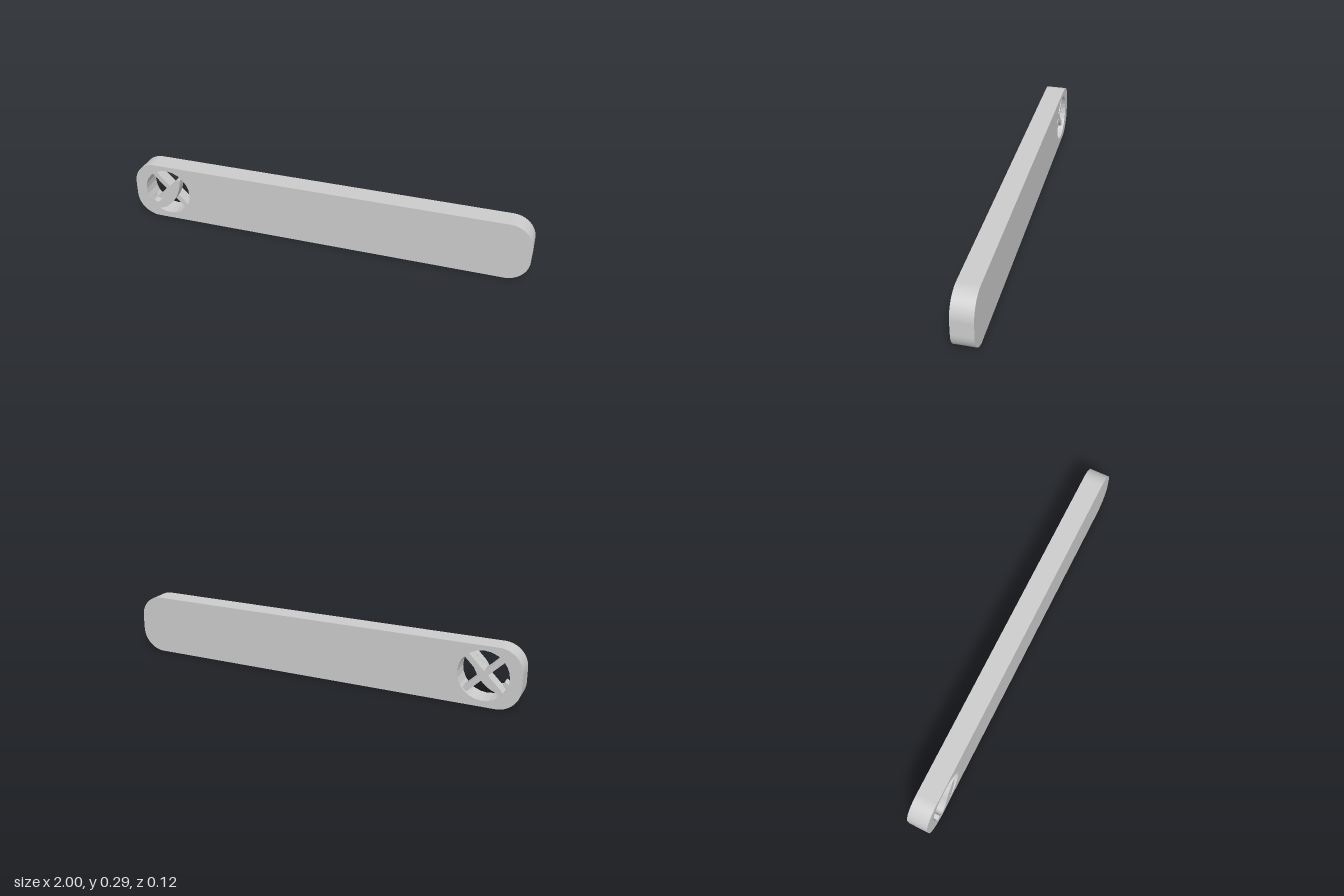
import * as THREE from 'three';

const W = 2, H = 0.293, T = 0.102, R = 0.112;
const HOLE = { x: -0.825, y: 0.15, r: 0.12 };

const material = new THREE.MeshStandardMaterial({ color: 0xcccccc });

// Extrudes a shape between two depths
function plate(name, shape, back, front, curveSegments) {
  const geometry = new THREE.ExtrudeGeometry(shape, { depth: front - back, bevelEnabled: false, curveSegments });
  geometry.translate(0, 0, back);
  const mesh = new THREE.Mesh(geometry, material);
  mesh.name = name;
  return mesh;
}

// Long bar with rounded corners and a round opening near one end
function barShape() {
  const s = new THREE.Shape();
  const x = W / 2 - R;
  s.absarc(x, H - R, R, 0, Math.PI / 2);
  s.absarc(-x, H - R, R, Math.PI / 2, Math.PI);
  s.absarc(-x, R, R, Math.PI, Math.PI * 1.5);
  s.absarc(x, R, R, Math.PI * 1.5, Math.PI * 2);
  s.closePath();
  s.holes.push(new THREE.Path().absarc(HOLE.x, HOLE.y, HOLE.r, 0, Math.PI * 2, true));
  return s;
}

// Curved hook with a short blunt end and a long tapering arm
function hookShape() {
  const s = new THREE.Shape();
  s.moveTo(-0.93, 0.098);
  s.quadraticCurveTo(-0.925, 0.05, -0.885, 0.05);
  s.bezierCurveTo(-0.82, 0.052, -0.752, 0.14, -0.747, 0.234);
  s.quadraticCurveTo(-0.765, 0.238, -0.785, 0.21);
  s.quadraticCurveTo(-0.815, 0.185, -0.829, 0.155);
  s.quadraticCurveTo(-0.85, 0.1, -0.882, 0.086);
  s.quadraticCurveTo(-0.905, 0.083, -0.91, 0.112);
  s.closePath();
  return s;
}

export function createModel() {
  const model = new THREE.Group();
  model.name = 'barWithOpening';
  model.add(plate('bar', barShape(), -T / 2, T / 2, 12));

  // Diagonal cross braces inside the opening
  for (const [name, angle] of [['risingBrace', Math.PI / 4], ['fallingBrace', -Math.PI / 4]]) {
    const brace = new THREE.Mesh(new THREE.BoxGeometry(HOLE.r * 2, 0.026, 0.06), material);
    brace.name = name;
    brace.position.set(HOLE.x, HOLE.y, -0.008);
    brace.rotation.z = angle;
    model.add(brace);
  }

  // Raised hook in front of the braces
  model.add(plate('curvedHook', hookShape(), 0.015, 0.059, 10));

  // The whole bar sits at a very slight angle
  model.rotation.y = 0.0035;
  model.position.z = -0.003;
  return model;
}
